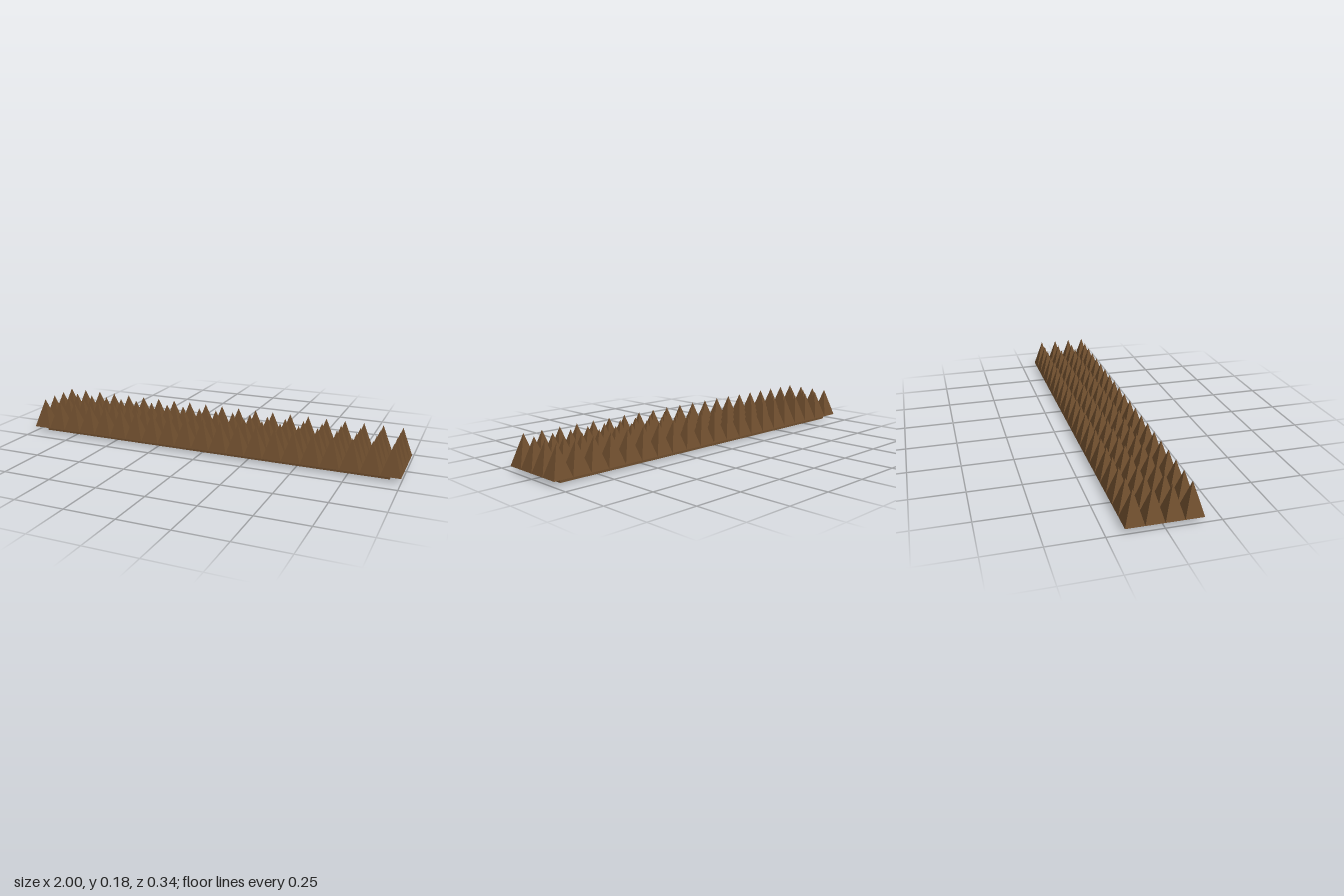
import * as THREE from 'three';
import { mergeGeometries } from 'three/addons/utils/BufferGeometryUtils.js';

const COLUMNS = 21, ROWS = 4;
const WIDTH = 2, DEPTH = 0.342;
const RIM_Y = 0.025, TIP_Y = 0.175;
const BASE_WIDTH = 1.89, BASE_DEPTH = 0.264, BASE_TOP = 0.021;

// Four-sided open pyramid with a rectangular foot standing on y = 0
function pyramid(w, h, d) {
  const g = new THREE.ConeGeometry(Math.SQRT1_2, h, 4, 1, true);
  g.rotateY(Math.PI / 4);
  g.scale(w, 1, d);
  g.translate(0, h / 2, 0);
  return g;
}

export function createModel() {
  const model = new THREE.Group();
  model.name = 'spikedStrip';
  const brown = new THREE.MeshStandardMaterial({ color: 0x6f4e2e, flatShading: true });
  brown.name = 'brown';

  function add(name, geometry) {
    const mesh = new THREE.Mesh(geometry, brown);
    mesh.name = name;
    model.add(mesh);
  }

  // Narrow foot
  const base = new THREE.BoxGeometry(BASE_WIDTH, BASE_TOP, BASE_DEPTH);
  base.translate(0, BASE_TOP / 2, 0);
  add('base', base);

  // Thin plate whose underside slopes in towards the foot
  const plate = new THREE.BoxGeometry(WIDTH, RIM_Y - BASE_TOP, DEPTH);
  plate.translate(0, (RIM_Y + BASE_TOP) / 2, 0);
  const p = plate.attributes.position;
  for (let i = 0; i < p.count; i++) {
    if (p.getY(i) < (RIM_Y + BASE_TOP) / 2) {
      p.setX(i, Math.sign(p.getX(i)) * BASE_WIDTH / 2);
      p.setZ(i, Math.sign(p.getZ(i)) * BASE_DEPTH / 2);
    }
  }
  plate.computeVertexNormals();
  add('plate', plate);

  // Grid of spikes, edge to edge
  const pitchX = WIDTH / COLUMNS, pitchZ = DEPTH / ROWS;
  for (let row = 0; row < ROWS; row++) {
    const spikes = [];
    for (let col = 0; col < COLUMNS; col++) {
      const spike = pyramid(pitchX, TIP_Y - RIM_Y, pitchZ);
      spike.translate((col + 0.5) * pitchX - WIDTH / 2, RIM_Y, (row + 0.5) * pitchZ - DEPTH / 2);
      spikes.push(spike);
    }
    add('spikeRow' + (row + 1), mergeGeometries(spikes));
  }
  return model;
}
